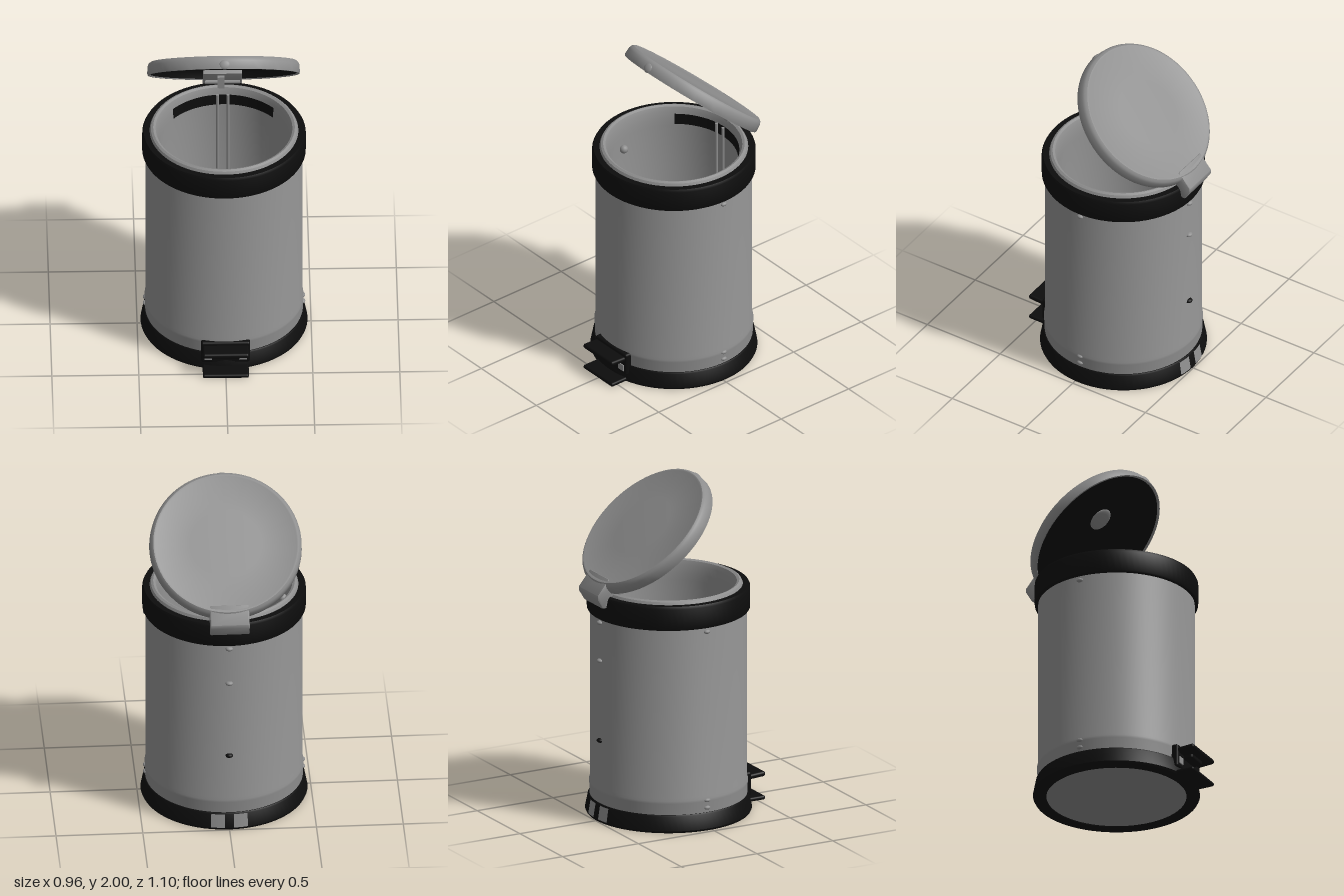
import * as THREE from 'three';
import { toCreasedNormals } from 'three/addons/utils/BufferGeometryUtils.js';
import { RoundedBoxGeometry } from 'three/addons/geometries/RoundedBoxGeometry.js';

const steel = new THREE.MeshStandardMaterial({ color: 0x8e8e8e });
steel.name = 'brushed grey';
const black = new THREE.MeshStandardMaterial({ color: 0x0d0d0d });
black.name = 'black plastic';

const AXIS_Z = -0.02; // the bin's own axis

function add(parent, name, geometry, material, x = 0, y = 0, z = 0) {
  const mesh = new THREE.Mesh(geometry, material);
  mesh.name = name;
  mesh.position.set(x, y, z);
  parent.add(mesh);
  return mesh;
}

// Turned part with crisp edges; profile is [radius, height] pairs
function turned(profile, start = 0, length = Math.PI * 2, segments = 80) {
  const points = profile.map(([r, y]) => new THREE.Vector2(r, y));
  return toCreasedNormals(new THREE.LatheGeometry(points, segments, start, length), 0.6);
}

function rod(radius, length) {
  return new THREE.CylinderGeometry(radius, radius, length, 10);
}

function createModel() {
  const bin = new THREE.Group();
  bin.name = 'pedalBin';

  // Hollow body with rolled rim, inner wall and floor
  add(bin, 'body', turned([
    [0.452, 0.05], [0.456, 0.17], [0.457, 0.185], [0.45, 0.2], [0.45, 1.3],
    [0.43, 1.355], [0.42, 1.375], [0.407, 1.382], [0.393, 1.375], [0.383, 1.35],
    [0.378, 1.3], [0.372, 1.26], [0.372, 0.12], [0.36, 0.1], [0, 0.1],
  ]), steel, 0, 0, AXIS_Z);

  // Black collar around the top
  add(bin, 'collar', turned([
    [0.448, 1.217], [0.466, 1.217], [0.47, 1.225], [0.47, 1.345], [0.462, 1.36],
    [0.425, 1.36],
  ]), black, 0, 0, AXIS_Z);

  // Flared black base ring and grey bottom plate
  add(bin, 'baseRing', turned([
    [0.40, 0.012], [0.405, 0], [0.474, 0], [0.48, 0.012], [0.464, 0.095], [0.458, 0.103], [0.45, 0.103],
  ]), black, 0, 0, AXIS_Z);
  add(bin, 'bottomPlate', turned([[0, 0.006], [0.41, 0.006]]), steel, 0, 0, AXIS_Z);

  // Grey plates on the back of the base, either side of the axle slot
  for (const side of [-1, 1]) {
    add(bin, 'backPlate', turned([[0.481, 0.015], [0.467, 0.096]],
      Math.PI + side * 0.14 - 0.085, 0.17, 6), steel, 0, 0, AXIS_Z);
  }

  // Black shadowed strip under the rim inside, at the back
  add(bin, 'innerStrip', turned([[0.376, 1.335], [0.37, 1.27]], Math.PI * 0.72, Math.PI * 0.56, 40),
    black, 0, 0, AXIS_Z);

  // Lifting rods inside the back wall
  for (const x of [-0.03, 0.03]) {
    add(bin, 'liftRod', rod(0.009, 1.26), steel, x, 0.73, -0.36);
  }

  // Bucket lugs inside
  for (const [x, z] of [[-0.345, 0.07], [-0.22, 0.26]]) {
    add(bin, 'bucketLug', new THREE.SphereGeometry(0.025, 14, 10), steel, x, 1.2, z);
  }

  // Rivets on both sides and the back
  for (const side of [-1, 1]) {
    for (const y of [0.13, 0.175, 1.19]) {
      const rivet = add(bin, 'sideRivet', new THREE.SphereGeometry(0.02, 14, 10), steel,
        side * 0.453, y, AXIS_Z);
      rivet.scale.set(0.7, 0.6, 1);
    }
  }
  for (const [y, material] of [[0.48, black], [0.96, steel], [1.19, steel]]) {
    const rivet = add(bin, 'backRivet', new THREE.SphereGeometry(0.022, 14, 10), material, 0, y, AXIS_Z - 0.451);
    rivet.scale.set(1, 0.6, 0.9);
  }

  // Pedal: housing, tread plate, floor foot and side brackets
  const pedal = new THREE.Group();
  pedal.name = 'pedal';
  bin.add(pedal);
  add(pedal, 'housing', new RoundedBoxGeometry(0.28, 0.14, 0.07, 2, 0.012), black, 0, 0.115, 0.415);
  const tread = add(pedal, 'tread', new RoundedBoxGeometry(0.265, 0.03, 0.15, 3, 0.013), black, 0, 0.152, 0.473);
  tread.rotation.x = -0.06;
  add(pedal, 'treadLip', new RoundedBoxGeometry(0.13, 0.035, 0.06, 2, 0.012), black, 0, 0.13, 0.475);
  add(pedal, 'foot', new RoundedBoxGeometry(0.265, 0.024, 0.15, 3, 0.011), black, 0, 0.013, 0.472);
  for (const x of [-0.1, 0.1]) {
    add(pedal, 'pedalBracket', new THREE.BoxGeometry(0.045, 0.04, 0.008), steel, x, 0.09, 0.452);
  }

  // Open lid, built flat and tilted back
  const lid = new THREE.Group();
  lid.name = 'lid';
  lid.position.set(0, 1.67, -0.14);
  lid.rotation.x = -0.715;
  bin.add(lid);
  add(lid, 'lidShell', turned([
    [0.422, 0.006], [0.427, 0], [0.436, 0], [0.439, 0.008], [0.437, 0.05], [0.43, 0.066],
    [0.418, 0.076], [0.408, 0.076], [0.4, 0.073], [0.2, 0.079], [0, 0.081],
  ]), steel);
  add(lid, 'lidLining', turned([[0, 0.058], [0.395, 0.052], [0.41, 0.04], [0.422, 0.006]]), black);
  const button = add(lid, 'liningButton', new THREE.SphereGeometry(0.07, 28, 14), steel, -0.03, 0.054, 0.09);
  button.scale.y = 0.2;
  const catchKnob = add(lid, 'frontCatch', new THREE.SphereGeometry(0.032, 18, 12), steel, 0, 0.025, 0.432);
  catchKnob.scale.set(1, 0.9, 0.4);

  // Hinge cover wrapping the back of the lid, as [z, y] outline
  const outline = [[-0.455, 1.4], [-0.43, 1.46], [-0.475, 1.475], [-0.545, 1.39], [-0.545, 1.37],
    [-0.512, 1.315], [-0.495, 1.315], [-0.485, 1.36]];
  const shape = new THREE.Shape(outline.map(([z, y]) => new THREE.Vector2(-z, y)));
  const hinge = new THREE.ExtrudeGeometry(shape, {
    depth: 0.21, bevelEnabled: true, bevelSize: 0.005, bevelThickness: 0.008, bevelSegments: 2,
  });
  hinge.translate(0, 0, -0.105);
  hinge.rotateY(Math.PI / 2);
  add(bin, 'hingeCover', toCreasedNormals(hinge, 0.7), steel);
  add(bin, 'hingeTab', new THREE.BoxGeometry(0.04, 0.09, 0.03), steel, -0.01, 1.4, -0.425);
  const pin = add(bin, 'hingePin', rod(0.014, 0.2), steel, 0, 1.385, -0.455);
  pin.rotation.z = Math.PI / 2;

  return bin;
}

export { createModel };
